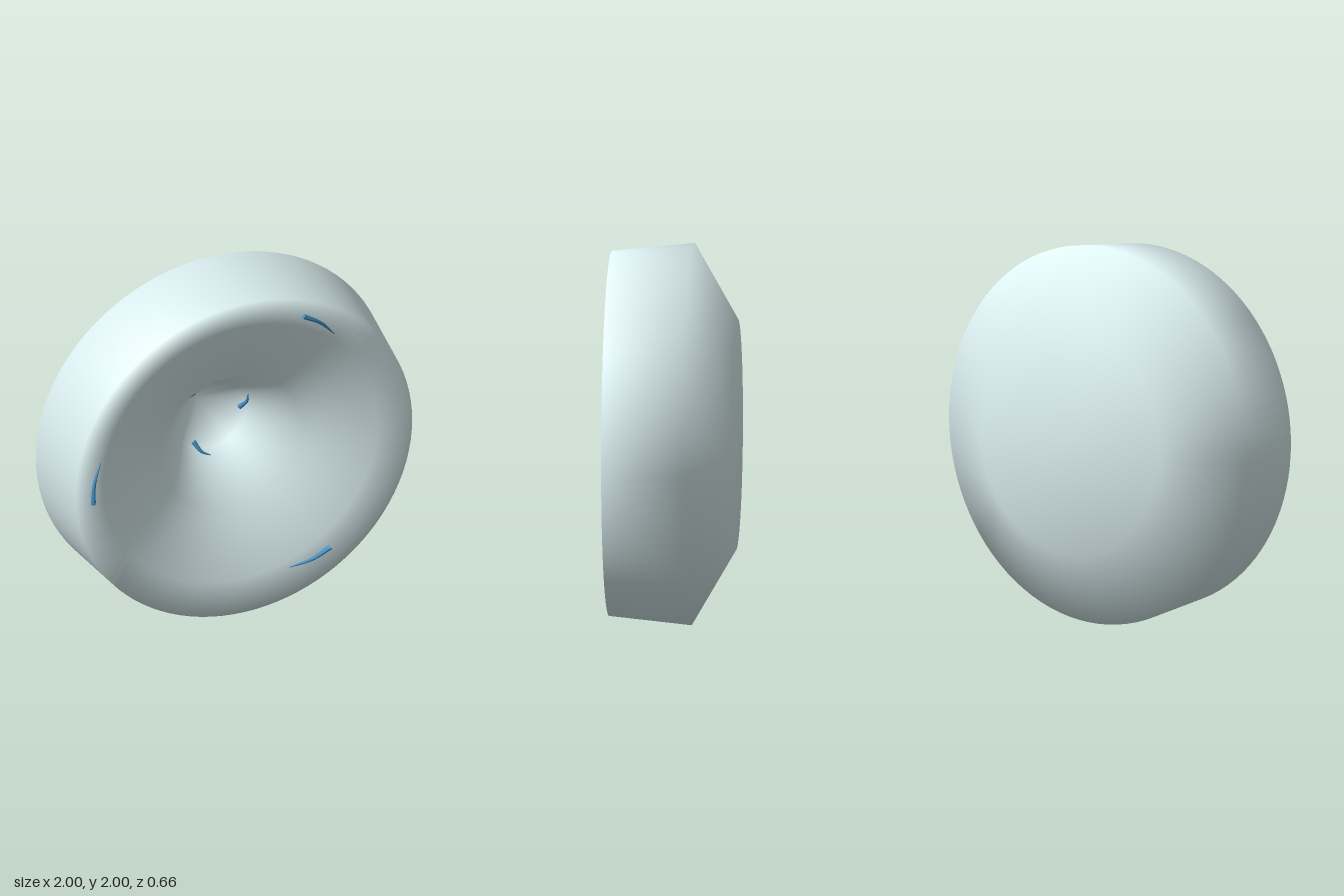
import * as THREE from 'three';
import { mergeVertices } from 'three/addons/utils/BufferGeometryUtils.js';

const shellMaterial = new THREE.MeshStandardMaterial({ color: 0xe0f4f6 });
const bladeMaterial = new THREE.MeshStandardMaterial({ color: 0x4390c6 });

// Weld a lathe so that its normals run smoothly over the seam and the poles
function smoothLathe(profile, segments) {
  const g = new THREE.LatheGeometry(profile.map(p => new THREE.Vector2(...p)), segments);
  g.rotateX(Math.PI / 2);
  g.deleteAttribute('uv');
  g.deleteAttribute('normal');
  const welded = mergeVertices(g, 1e-4);
  welded.computeVertexNormals();
  return welded;
}

// Curved blade, blunt at the first point and tapering to the last;
// points are [radius, angle in degrees, z]
function blade(points, width) {
  const curve = new THREE.CatmullRomCurve3(points.map(([r, deg, z]) => {
    const a = THREE.MathUtils.degToRad(deg);
    return new THREE.Vector3(r * Math.cos(a), r * Math.sin(a), z);
  }));
  const rings = 12, sides = 8;
  const g = new THREE.TubeGeometry(curve, rings, width, sides, false);
  const pos = g.attributes.position, v = new THREE.Vector3();
  for (let i = 0; i <= rings; i++) {
    const centre = curve.getPointAt(i / rings);
    const scale = 1 - 0.85 * (i / rings) ** 1.3;
    for (let j = 0; j <= sides; j++) {
      const k = i * (sides + 1) + j;
      v.fromBufferAttribute(pos, k).sub(centre).multiplyScalar(scale).add(centre);
      pos.setXYZ(k, v.x, v.y, v.z);
    }
  }
  g.computeVertexNormals();
  const group = new THREE.Group();
  group.add(new THREE.Mesh(g, bladeMaterial));
  // Cap on the blunt end
  const cap = new THREE.Mesh(new THREE.CircleGeometry(width, sides), bladeMaterial);
  cap.position.copy(curve.getPointAt(0));
  cap.lookAt(cap.position.clone().sub(curve.getTangentAt(0)));
  group.add(cap);
  return group;
}

export function createModel() {
  const model = new THREE.Group();
  const dish = new THREE.Group();
  dish.name = 'dish';
  dish.position.y = 1;
  model.add(dish);

  // Round shell: flat back, bevel, side wall, rim, shallow dish and conical pit, as [radius, z]
  const shell = new THREE.Mesh(smoothLathe([
    [0, -0.33], [0.605, -0.33], [1, -0.1], [0.955, 0.33],
    [0.78, 0.28], [0.4, 0.15], [0.2, -0.125], [0, -0.32],
  ], 96), shellMaterial);
  shell.name = 'shell';
  dish.add(shell);

  // Three blades round the rim and three in the pit
  for (let i = 0; i < 3; i++) {
    const turn = i * 120;
    const outer = blade([[0.852, 66 + turn, 0.307], [0.84, 58 + turn, 0.304], [0.813, 49.5 + turn, 0.294]], 0.014);
    outer.name = 'rimBlade' + (i + 1);
    const inner = blade([[0.175, turn, -0.14], [0.208, 14 + turn, -0.106], [0.224, 27 + turn, -0.088]], 0.014);
    inner.name = 'pitBlade' + (i + 1);
    dish.add(outer, inner);
  }
  return model;
}
